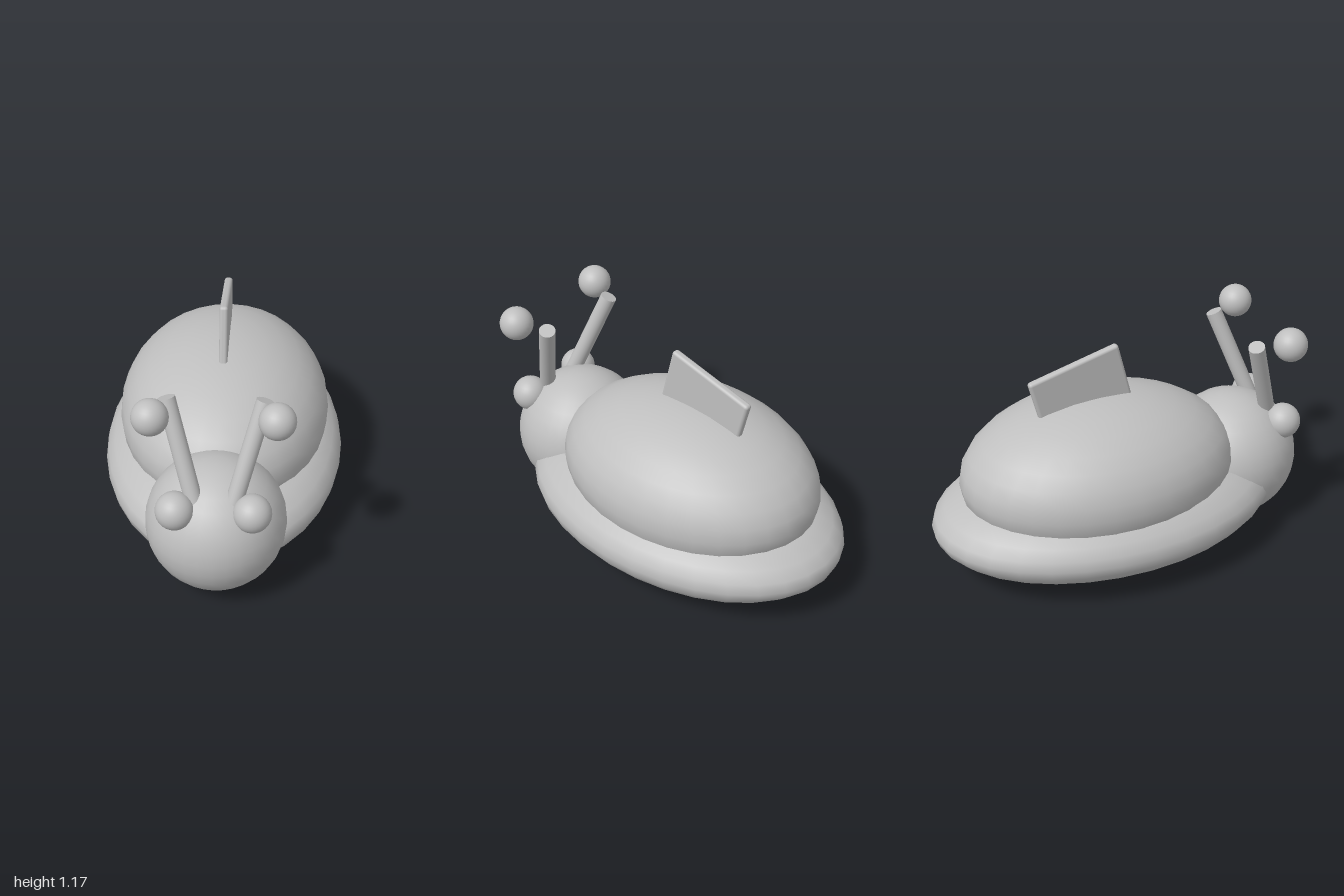
import * as THREE from 'three';
import { RoundedBoxGeometry } from 'three/addons/geometries/RoundedBoxGeometry.js';

export function createModel() {
  const model = new THREE.Group();
  model.name = 'snail';
  const grey = new THREE.MeshStandardMaterial({ color: 0xbfbfbf });
  grey.name = 'plain grey';

  const add = (name, geometry, position) => {
    const mesh = new THREE.Mesh(geometry, grey);
    mesh.name = name;
    mesh.position.set(...position);
    model.add(mesh);
    return mesh;
  };
  const ellipsoid = (name, position, radii) =>
    add(name, new THREE.SphereGeometry(1, 32, 16).scale(...radii), position);

  // Flat body, domed shell and round head
  ellipsoid('body', [0, 0.263, -0.08], [0.615, 0.261, 0.92]);
  ellipsoid('shell', [0, 0.48, -0.115], [0.537, 0.387, 0.728]);
  ellipsoid('head', [0, 0.358, 0.657], [0.343, 0.343, 0.343]);

  // Tilted fin, sunk into the shell
  const fin = add('fin', new RoundedBoxGeometry(0.042, 0.4, 0.49, 3, 0.016), [0, 0.884, -0.198]);
  fin.rotation.x = -0.25;

  // Eyes, stalks and stalk tips, mirrored
  const up = new THREE.Vector3(0, 1, 0);
  for (const [side, s] of [['left', 1], ['right', -1]]) {
    ellipsoid(side + 'Eye', [s * 0.18, 0.583, 0.86], [0.092, 0.092, 0.092]);

    const foot = new THREE.Vector3(s * 0.063, 0.5, 0.853);
    const top = new THREE.Vector3(s * 0.225, 1.078, 0.65);
    const axis = top.clone().sub(foot);
    const middle = foot.clone().add(top).multiplyScalar(0.5);
    const stalk = add(side + 'Stalk', new THREE.CylinderGeometry(0.042, 0.042, axis.length(), 24), middle.toArray());
    stalk.quaternion.setFromUnitVectors(up, axis.normalize());

    ellipsoid(side + 'StalkTip', [s * 0.284, 1.085, 0.81], [0.086, 0.086, 0.086]);
  }
  return model;
}
